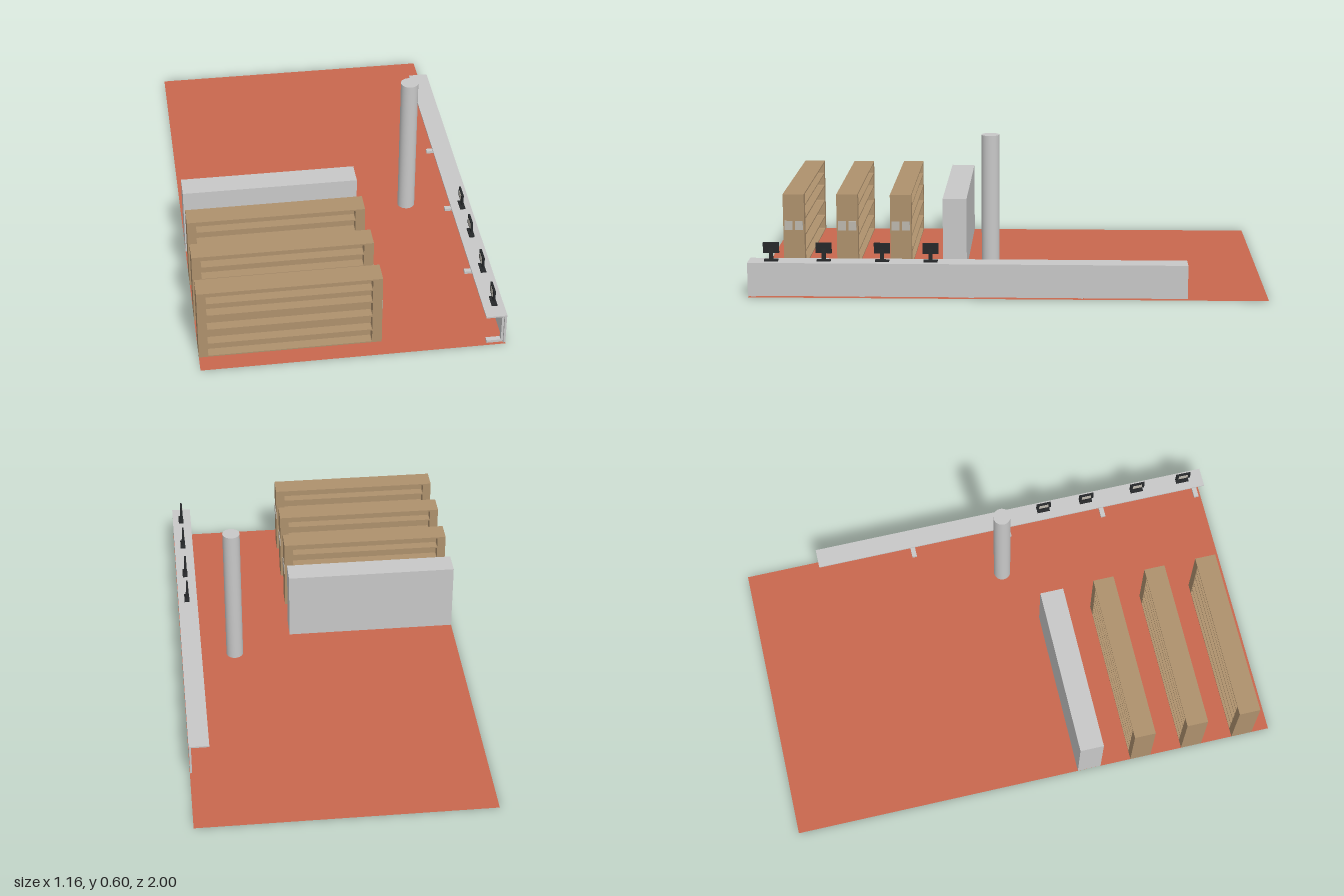
import * as THREE from 'three';

const mat = (name, color) => {
  const m = new THREE.MeshStandardMaterial({ color });
  m.name = name;
  return m;
};

export function createModel() {
  const root = new THREE.Group();
  root.name = 'serviceHall';
  const red = mat('terracotta', 0xc9674e);
  red.side = THREE.DoubleSide;
  const grey = mat('lightGrey', 0xc8c8c8);
  const wood = mat('wood', 0xae916d);
  const black = mat('black', 0x26282a);
  const label = mat('labelGrey', 0xbdb8ae);

  const add = (parent, name, geo, material) => {
    const mesh = new THREE.Mesh(geo, material);
    mesh.name = name;
    parent.add(mesh);
    return mesh;
  };
  // Box given by its low and high corner
  const box = (parent, name, material, [x0, y0, z0], [x1, y1, z1]) => {
    const g = new THREE.BoxGeometry(x1 - x0, y1 - y0, z1 - z0);
    g.translate((x0 + x1) / 2, (y0 + y1) / 2, (z0 + z1) / 2);
    return add(parent, name, g, material);
  };
  const group = (name, x, y, z) => {
    const g = new THREE.Group();
    g.name = name;
    g.position.set(x, y, z);
    root.add(g);
    return g;
  };

  // Floor sheet
  add(root, 'floor', new THREE.PlaneGeometry(1.16, 2).rotateX(-Math.PI / 2), red);

  // Round column
  const column = add(root, 'column', new THREE.CylinderGeometry(0.035, 0.035, 0.6, 40), grey);
  column.position.set(0.357, 0.301, 0.073);

  // Solid partition behind the shelves
  box(root, 'partition', grey, [-0.58, 0.001, 0.18], [0.116, 0.29, 0.277]);

  // Open shelving: frame with slightly rounded bays and a central back panel
  const bays = [[0.006, 0.059], [0.065, 0.127], [0.133, 0.195], [0.201, 0.251], [0.256, 0.299]];
  const roundedRect = (path, x0, y0, x1, y1, r) => {
    path.moveTo(x0 + r, y0);
    path.lineTo(x1 - r, y0).quadraticCurveTo(x1, y0, x1, y0 + r);
    path.lineTo(x1, y1 - r).quadraticCurveTo(x1, y1, x1 - r, y1);
    path.lineTo(x0 + r, y1).quadraticCurveTo(x0, y1, x0, y1 - r);
    path.lineTo(x0, y0 + r).quadraticCurveTo(x0, y0, x0 + r, y0);
    return path;
  };
  const outline = new THREE.Shape();
  outline.moveTo(-0.58, 0.001).lineTo(0.116, 0.001).lineTo(0.116, 0.305).lineTo(-0.58, 0.305);
  outline.closePath();
  bays.forEach(([a, b]) => outline.holes.push(roundedRect(new THREE.Path(), -0.545, a, 0.079, b, 0.004)));
  const depth = 0.086;
  const frameGeo = new THREE.ExtrudeGeometry(outline, { depth, bevelEnabled: false, curveSegments: 3 });
  frameGeo.translate(0, 0, -depth / 2);
  for (const z of [0.448, 0.666, 0.884]) {
    const shelf = group('shelfUnit', 0, 0, z);
    add(shelf, 'shelfFrame', frameGeo, wood);
    box(shelf, 'shelfBackPanel', wood, [-0.55, 0.003, -0.004], [0.084, 0.302, 0.004]);
    // Pair of plates on the aisle end
    for (const s of [-1, 1]) {
      box(shelf, 'endLabel', label, [0.114, 0.157, s * 0.021 - 0.016], [0.118, 0.195, s * 0.021 + 0.016]);
    }
  }

  // Long counter with front panel and L-shaped supports
  const counter = group('counter', 0, 0, 0);
  box(counter, 'counterTop', grey, [0.5, 0.131, -0.69], [0.58, 0.137, 1]);
  box(counter, 'counterPanel', grey, [0.571, 0.006, -0.69], [0.579, 0.131, 1]);
  for (const z of [-0.28, 0.14, 0.56, 0.98]) {
    box(counter, 'supportPost', grey, [0.563, 0.002, z - 0.01], [0.572, 0.131, z + 0.01]);
    box(counter, 'supportFoot', grey, [0.508, 0.002, z - 0.01], [0.564, 0.013, z + 0.01]);
  }

  // Monitors on the counter, screens facing -x
  for (const z of [0.297, 0.484, 0.709, 0.912]) {
    const monitor = group('monitor', 0.54, 0.137, z);
    box(monitor, 'monitorBase', black, [-0.007, 0, -0.027], [0.014, 0.006, 0.027]);
    const neck = box(monitor, 'monitorNeck', black, [-0.003, 0, -0.008], [0.004, 0.05, 0.008]);
    neck.position.x = 0.005;
    neck.rotation.z = 0.08;
    box(monitor, 'monitorCase', black, [-0.004, 0.031, -0.031], [0.004, 0.072, 0.031]);
    box(monitor, 'monitorScreen', label, [-0.005, 0.039, -0.02], [-0.0035, 0.064, 0.02]);
  }
  return root;
}
